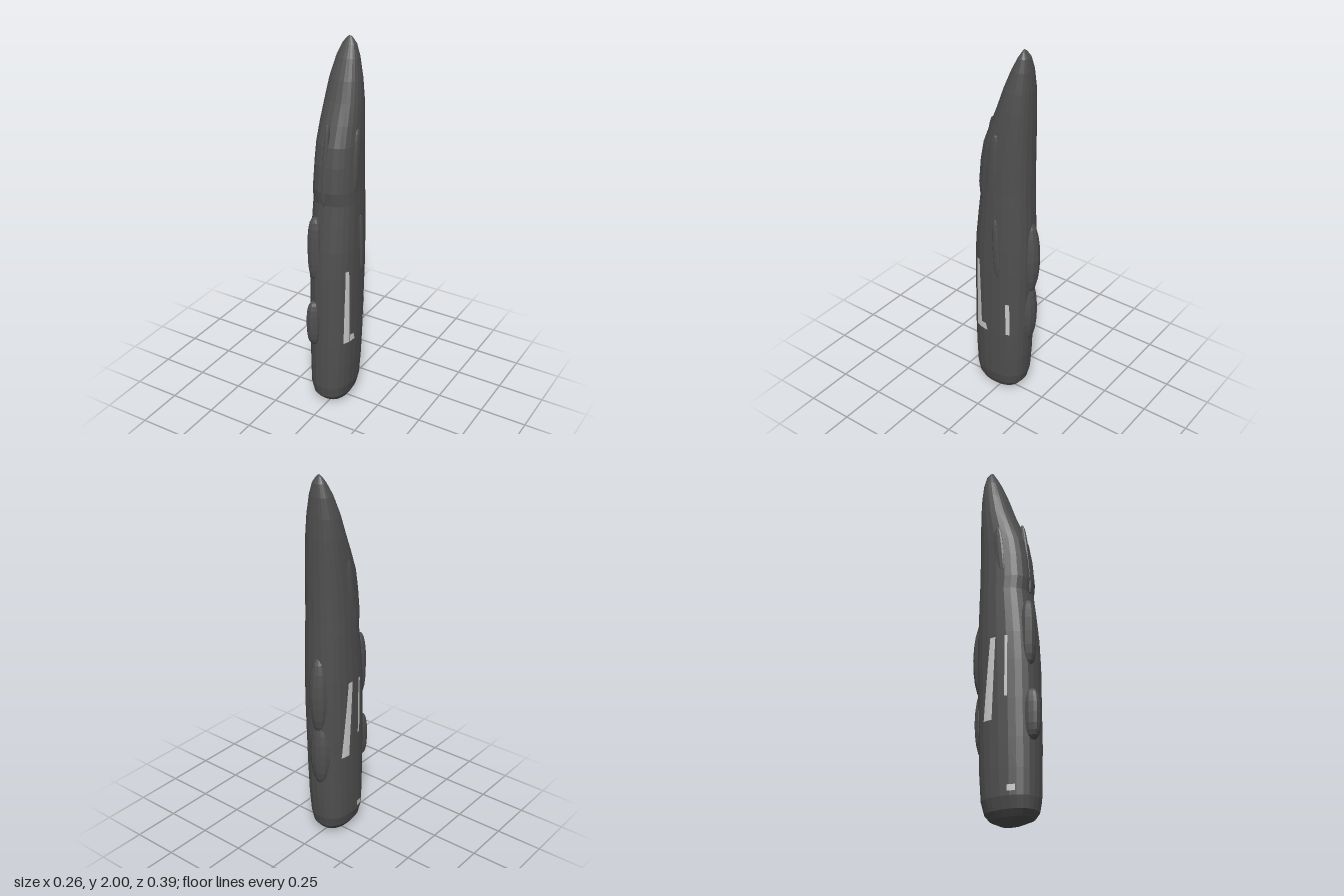
import * as THREE from 'three';

const dark = new THREE.MeshStandardMaterial({ color: 0x505050, flatShading: true });
const light = new THREE.MeshStandardMaterial({ color: 0xcccccc, side: THREE.DoubleSide });

// body outline: height, right x, left x, front z, back z
const rows = [
  [0.01, -0.045, 0.04, 0.06, -0.05],
  [0.03, -0.085, 0.075, 0.125, -0.095],
  [0.06, -0.105, 0.09, 0.15, -0.12],
  [0.12, -0.12, 0.103, 0.16, -0.135],
  [0.25, -0.123, 0.11, 0.163, -0.145],
  [0.4, -0.125, 0.115, 0.164, -0.15],
  [0.6, -0.126, 0.117, 0.162, -0.157],
  [0.8, -0.127, 0.12, 0.16, -0.162],
  [0.95, -0.127, 0.12, 0.152, -0.162],
  [1.1, -0.123, 0.117, 0.135, -0.158],
  [1.2, -0.12, 0.115, 0.122, -0.156],
  [1.27, -0.118, 0.113, 0.13, -0.155],
  [1.4, -0.113, 0.11, 0.118, -0.155],
  [1.5, -0.11, 0.106, 0.1, -0.155],
  [1.6, -0.105, 0.099, 0.062, -0.155],
  [1.7, -0.097, 0.09, 0.022, -0.155],
  [1.8, -0.085, 0.076, -0.012, -0.153],
  [1.9, -0.062, 0.054, -0.052, -0.146],
  [1.96, -0.038, 0.034, -0.082, -0.135],
  [1.99, -0.015, 0.014, -0.1, -0.118],
];
const POWER = 2.4;
const spow = (v, p) => Math.sign(v) * Math.abs(v) ** p;

function sectionAt(y) {
  let i = 0;
  while (i < rows.length - 2 && rows[i + 1][0] < y) i++;
  const t = (y - rows[i][0]) / (rows[i + 1][0] - rows[i][0]);
  const [xr, xl, zf, zb] = [1, 2, 3, 4].map(k => THREE.MathUtils.lerp(rows[i][k], rows[i + 1][k], t));
  return { cx: (xr + xl) / 2, rx: (xl - xr) / 2, cz: (zf + zb) / 2, rz: (zf - zb) / 2 };
}

// superellipse loft closed at both ends
function bodyGeometry(sides = 24) {
  const pos = [], index = [];
  for (const [y] of rows) {
    const s = sectionAt(y);
    for (let j = 0; j < sides; j++) {
      const a = (j / sides) * Math.PI * 2;
      pos.push(s.cx + s.rx * spow(Math.sin(a), 2 / POWER), y, s.cz + s.rz * spow(Math.cos(a), 2 / POWER));
    }
  }
  const top = (rows.length - 1) * sides, end = rows.length * sides;
  pos.push(0, 0, 0, 0, 2, -0.107);
  for (let j = 0; j < sides; j++) {
    const k = (j + 1) % sides;
    for (let i = 0; i < top; i += sides) {
      index.push(i + j, i + k, i + sides + j, i + k, i + sides + k, i + sides + j);
    }
    index.push(end, k, j, top + j, top + k, end + 1);
  }
  const g = new THREE.BufferGeometry();
  g.setAttribute('position', new THREE.Float32BufferAttribute(pos, 3));
  g.setIndex(index);
  g.computeVertexNormals();
  return g;
}

// rounded, slightly boxy swelling
function swelling(name, center, radii, tilt = 0, box = 0.75) {
  const g = new THREE.SphereGeometry(1, 12, 10);
  const p = g.attributes.position;
  for (let i = 0; i < p.count; i++) {
    p.setXYZ(i, spow(p.getX(i), box) * radii[0], spow(p.getY(i), box) * radii[1], spow(p.getZ(i), box) * radii[2]);
  }
  g.computeVertexNormals();
  const m = new THREE.Mesh(g, dark);
  m.name = name;
  m.position.set(...center);
  m.rotation.x = tilt;
  return m;
}

// thin strip following the body side between two heights; z ranges given at bottom and top
function strip(name, side, y0, y1, bottom, top) {
  const g = new THREE.PlaneGeometry(1, 1, 4, 12);
  const p = g.attributes.position;
  for (let i = 0; i < p.count; i++) {
    const u = p.getX(i) + 0.5, v = p.getY(i) + 0.5;
    const y = y0 + (y1 - y0) * v;
    const z = THREE.MathUtils.lerp(
      THREE.MathUtils.lerp(bottom[0], bottom[1], u), THREE.MathUtils.lerp(top[0], top[1], u), v);
    const s = sectionAt(y);
    const k = Math.max(0, 1 - Math.abs((z - s.cz) / s.rz) ** POWER) ** (1 / POWER);
    p.setXYZ(i, s.cx + side * (s.rx * k + 0.003), y, z);
  }
  g.computeVertexNormals();
  const m = new THREE.Mesh(g, light);
  m.name = name;
  return m;
}

export function createModel() {
  const group = new THREE.Group();
  group.name = 'taperedBlade';
  const body = new THREE.Mesh(bodyGeometry(), dark);
  body.name = 'body';
  group.add(body);

  // raised pads and ridge on the front
  group.add(
    swelling('upperFrontPad', [-0.053, 0.95, 0.135], [0.037, 0.18, 0.036]),
    swelling('lowerFrontPad', [-0.053, 0.52, 0.15], [0.037, 0.13, 0.045]),
    swelling('frontRidge', [-0.01, 1.4, 0.1], [0.015, 0.21, 0.02], -0.1),
  );
  // swellings along the back
  group.add(
    swelling('upperBackSwelling', [-0.02, 0.87, -0.14], [0.055, 0.22, 0.054], 0, 1),
    swelling('lowerBackSwelling', [-0.02, 0.53, -0.135], [0.06, 0.19, 0.042], 0, 1),
  );
  // long ridges on the sides
  group.add(
    swelling('leftLowerRidge', [0.112, 0.95, -0.03], [0.018, 0.17, 0.02], 0.05),
    swelling('leftUpperRidge', [0.1, 1.4, 0.0], [0.016, 0.18, 0.028], -0.1),
    swelling('rightUpperRidge', [-0.1, 1.4, 0.0], [0.016, 0.18, 0.028], -0.1),
  );
  // pale inlays
  group.add(
    strip('leftInlay', 1, 0.41, 0.84, [0.11, 0.07], [0.1, 0.08]),
    strip('leftInlayFoot', 1, 0.41, 0.45, [0.07, 0.03], [0.07, 0.04]),
    strip('leftBackInlay', 1, 0.42, 0.62, [-0.08, -0.1], [-0.08, -0.1]),
    strip('rightInlay', -1, 0.5, 0.93, [-0.03, -0.08], [-0.01, -0.04]),
    strip('rightFrontInlay', -1, 0.61, 0.93, [0.04, 0.055], [0.04, 0.055]),
    strip('rightFootInlay', -1, 0.14, 0.17, [0.05, 0.09], [0.05, 0.09]),
  );
  return group;
}
